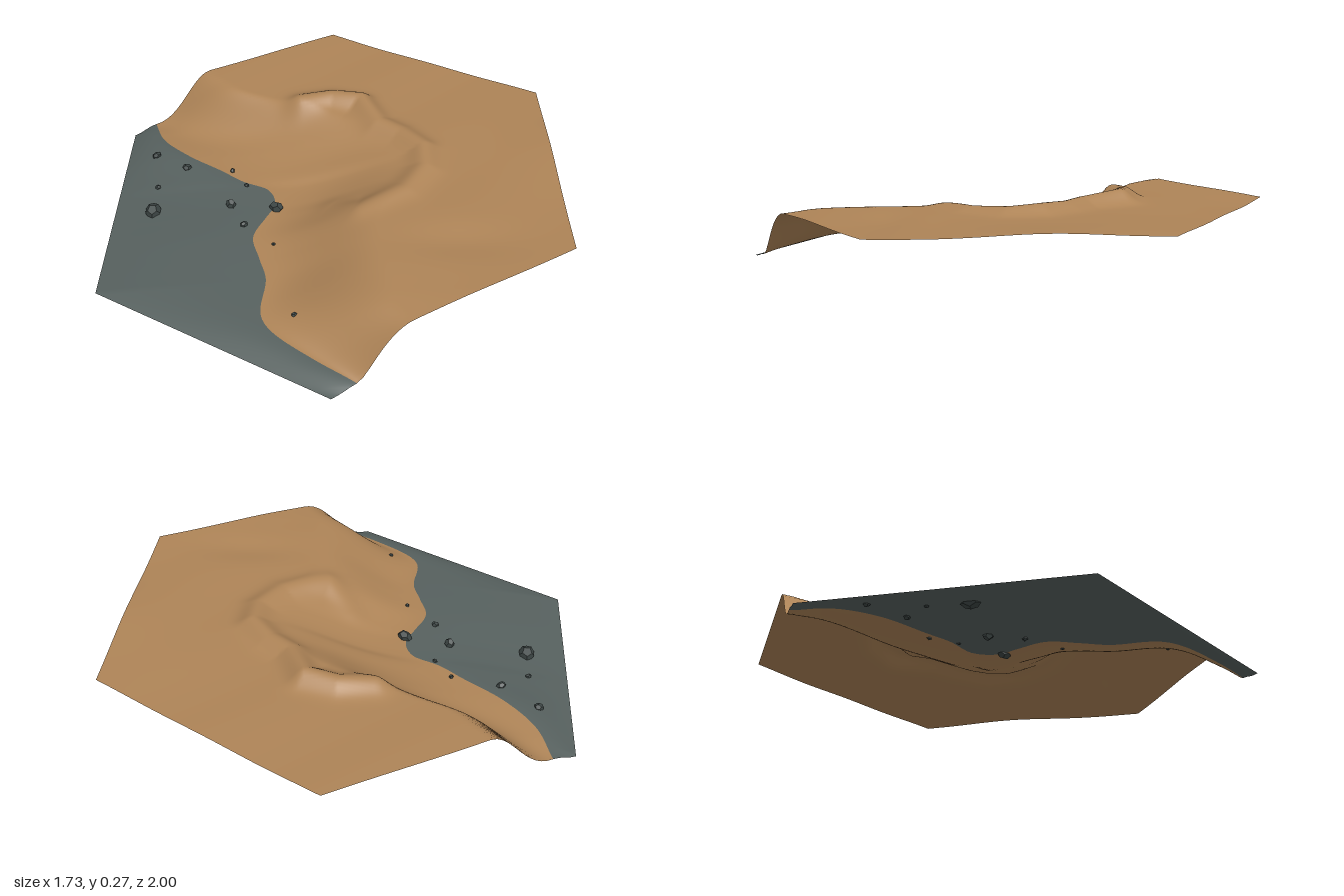
import * as THREE from 'three';

const beachMat = new THREE.MeshStandardMaterial({ color: 0x57615f, side: THREE.DoubleSide });
beachMat.name = 'greyBeach';
const earthMat = new THREE.MeshStandardMaterial({ color: 0xae8457, side: THREE.DoubleSide });
earthMat.name = 'brownEarth';
const rockMat = new THREE.MeshStandardMaterial({ color: 0x3d4645, flatShading: true });
rockMat.name = 'darkRock';

const clamp01 = (t) => Math.min(1, Math.max(0, t));
const smooth = (t) => { t = clamp01(t); return t * t * (3 - 2 * t); };
const hill = (x, z, cx, cz, rx, rz) => Math.exp(-(((x - cx) / rx) ** 2) - ((z - cz) / rz) ** 2);

// Smooth function through [key, value] pairs
function through(p) {
  const slope = (i) => {
    const a = p[Math.max(0, i - 1)], b = p[Math.min(p.length - 1, i + 1)];
    return (b[1] - a[1]) / (b[0] - a[0]);
  };
  return (k) => {
    if (k <= p[0][0]) return p[0][1];
    if (k >= p[p.length - 1][0]) return p[p.length - 1][1];
    let i = 0;
    while (k > p[i + 1][0]) i++;
    const d = p[i + 1][0] - p[i][0], t = (k - p[i][0]) / d;
    const e = smooth(t), u = t * (1 - t);
    return p[i][1] * (1 - e) + p[i + 1][1] * e + d * u * ((1 - t) * slope(i) - t * slope(i + 1));
  };
}

// Half width of the hexagonal tile at depth z
const halfWidth = (z) => Math.max(0, Math.min(0.866, (1 - Math.abs(z)) * 1.732));

// Shoreline x (running on past the tile edge), shore height, and x of the cliff top, all by depth z
const shoreX = through([[-1, -0.9], [-0.75, -0.85], [-0.65, -0.82], [-0.55, -0.779], [-0.4, -0.72], [-0.27, -0.6],
  [-0.16, -0.45], [-0.09, -0.36], [-0.04, -0.26], [0.06, -0.225], [0.13, -0.255], [0.25, -0.3], [0.37, -0.27],
  [0.48, -0.24], [0.65, -0.25], [0.74, -0.2], [0.86, -0.05], [0.95, 0.087], [1, 0.16]]);
const shoreY = through([[-1, 0.025], [-0.55, 0.025], [-0.45, 0.038], [-0.25, 0.058], [0.1, 0.06],
  [0.4, 0.055], [0.65, 0.045], [0.85, 0.033], [0.95, 0.022], [1, 0]]);
const crestX = through([[-1, -0.65], [-0.72, -0.56], [-0.66, -0.52], [-0.6, -0.46], [-0.53, -0.38], [-0.45, -0.2],
  [-0.35, 0.02], [-0.25, 0.19], [-0.15, 0.32], [-0.05, 0.37], [0.05, 0.36], [0.15, 0.3], [0.27, 0.19],
  [0.4, 0.17], [0.6, 0.2], [0.75, 0.22], [0.85, 0.28], [0.92, 0.3], [1, 0.32]]);
const steepness = through([[-0.65, 1], [-0.5, 1.15], [-0.35, 1.55], [-0.25, 1.5], [-0.1, 1.2], [0.05, 1.05],
  [0.3, 1.1], [0.6, 1]]);

// Raised rim around the hollow: x, z, extra height
const rim = [[-0.13, -0.43, 0.036], [0, -0.45, 0.045], [0.12, -0.42, 0.055], [0.19, -0.27, 0.038],
  [0.28, -0.2, 0.034], [0.36, -0.1, 0.038], [0.36, 0.02, 0.028], [0.28, 0.15, 0.02], [0.1, 0.25, 0.02],
  [0, 0.15, 0.01]];
function rimHeight(x, z) {
  let best = 0;
  for (let i = 0; i < rim.length - 1; i++) {
    const [ax, az, ah] = rim[i], [bx, bz, bh] = rim[i + 1];
    const dx = bx - ax, dz = bz - az;
    const t = clamp01(((x - ax) * dx + (z - az) * dz) / (dx * dx + dz * dz));
    const d = Math.hypot(x - ax - t * dx, z - az - t * dz);
    best = Math.max(best, (ah + (bh - ah) * t) * Math.exp(-((d / 0.055) ** 2)));
  }
  return best;
}

function height(x, z) {
  const s = shoreX(z), left = -halfWidth(z), sy = shoreY(z);
  if (x <= s) {
    // The beach meets the left edges at ground level, lifting where the cliff begins
    const edge = sy * smooth((-0.5 - z) / 0.05);
    return edge + (sy - edge) * Math.sin(Math.min(1, (x - left) / Math.max(0.02, s - left)) * Math.PI / 2);
  }
  const t = clamp01((x - s) / Math.max(0.03, crestX(z) - s));
  const rise = smooth(Math.pow(t, steepness(z)));
  const top = 0.217 + 0.01 * x * x + 0.003 * Math.sin(x * 9 + z * 4) * Math.cos(z * 7)
    - 0.012 * hill(x, z, 0.45, 0.45, 0.2, 0.09) + 0.014 * hill(x, z, 0.87, -0.15, 0.25, 0.25)
    - 0.008 * smooth((z - 0.7) / 0.2);
  return sy + (top - sy) * rise + rimHeight(x, z);
}

// Sheet of ground between two x limits that follow z
function ground(name, material, from, to, columns) {
  const rows = 160, e = 0.008, pos = [], nor = [], idx = [];
  for (let j = 0; j <= rows; j++) {
    const z = -1 + (2 * j) / rows;
    for (let i = 0; i <= columns; i++) {
      const x = from(z) + ((to(z) - from(z)) * i) / columns;
      pos.push(x, Math.max(0, height(x, z)), z);
      const n = new THREE.Vector3(height(x - e, z) - height(x + e, z), 2 * e,
        height(x, z - e) - height(x, z + e)).normalize();
      nor.push(n.x, n.y, n.z);
      if (i < columns && j < rows) {
        const a = j * (columns + 1) + i, b = a + columns + 1;
        idx.push(a, b, a + 1, a + 1, b, b + 1);
      }
    }
  }
  const g = new THREE.BufferGeometry();
  g.setAttribute('position', new THREE.Float32BufferAttribute(pos, 3));
  g.setAttribute('normal', new THREE.Float32BufferAttribute(nor, 3));
  g.setIndex(idx);
  const mesh = new THREE.Mesh(g, material);
  mesh.name = name;
  return mesh;
}

export function createModel() {
  const model = new THREE.Group();
  model.name = 'coastTile';
  const split = (z) => Math.min(halfWidth(z), Math.max(-halfWidth(z), shoreX(z)));
  model.add(ground('beach', beachMat, (z) => -halfWidth(z), split, 50));
  model.add(ground('headland', earthMat, split, halfWidth, 110));

  // Loose rocks along the shore: x, z, radius
  const rocks = new THREE.Group();
  rocks.name = 'rocks';
  [[-0.71, 0.06, 0.035], [-0.74, -0.29, 0.018], [-0.6, -0.19, 0.018], [-0.41, -0.16, 0.011],
    [-0.71, -0.09, 0.012], [-0.345, -0.065, 0.01], [-0.4, 0.055, 0.024], [-0.22, 0.08, 0.028],
    [-0.34, 0.18, 0.015], [-0.22, 0.3, 0.009], [-0.13, 0.68, 0.01]].forEach(([x, z, r], i) => {
    const rock = new THREE.Mesh(new THREE.DodecahedronGeometry(r), rockMat);
    rock.name = 'rock' + (i + 1);
    rock.position.set(x, height(x, z) + r * 0.25, z);
    rock.rotation.set(i * 1.3, i * 2.1, i * 0.7);
    rock.scale.set(0.9, 0.8, 1.1);
    rocks.add(rock);
  });
  model.add(rocks);
  return model;
}
